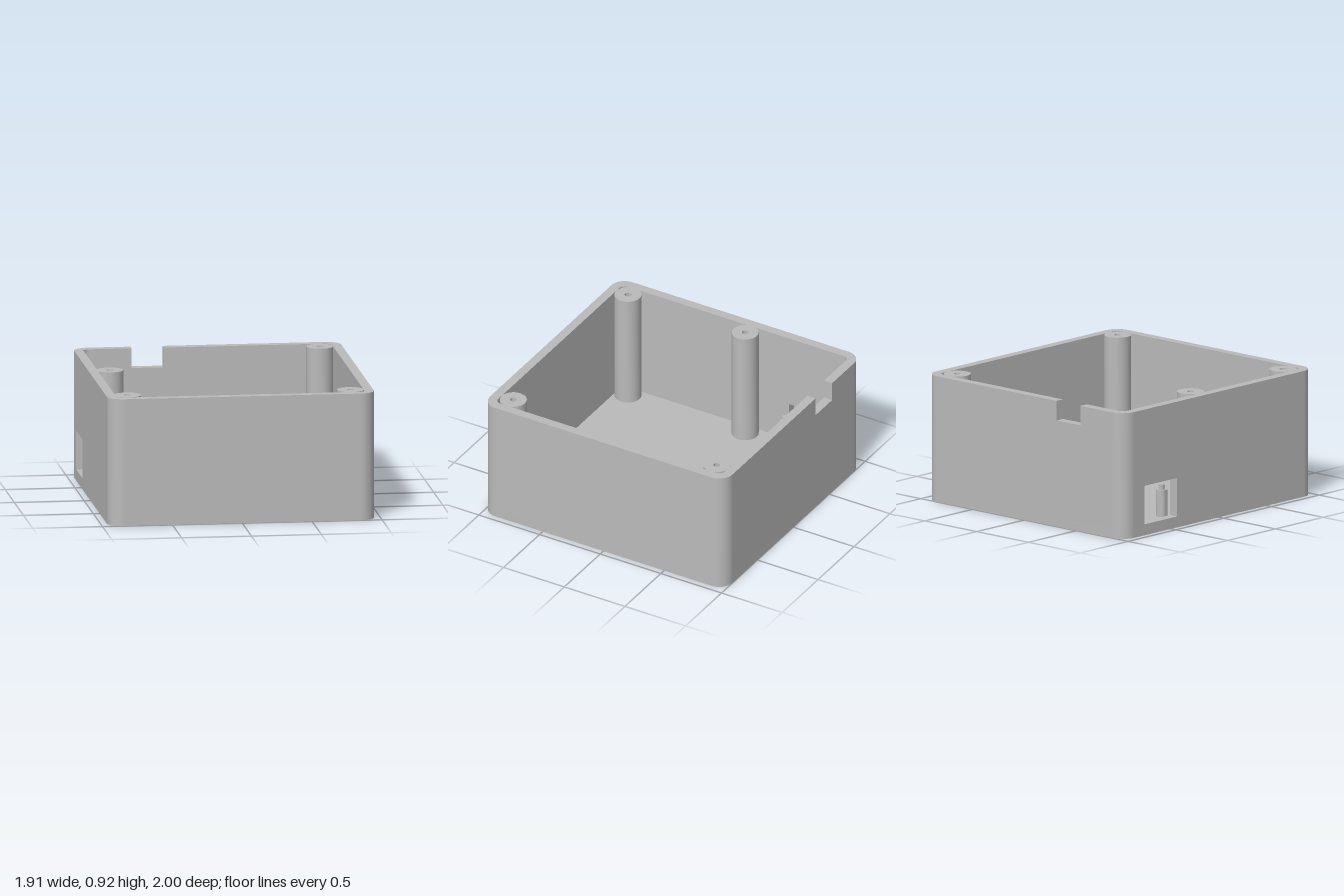
import * as THREE from 'three';
import { toCreasedNormals } from 'three/addons/utils/BufferGeometryUtils.js';

const W = 0.955, D = 1, H = 0.915;      // half width, half depth, height
const T = 0.067, R = 0.11, FLOOR = 0.065; // wall thickness, corner radius, floor top

const plastic = new THREE.MeshStandardMaterial({ color: 0xbababa });
plastic.name = 'grey plastic';

function extrude(shape, depth) {
  const geo = new THREE.ExtrudeGeometry(shape, { depth, bevelEnabled: false, curveSegments: 16 });
  return toCreasedNormals(geo, 0.6);
}

function part(group, name, geo) {
  const mesh = new THREE.Mesh(geo, plastic);
  mesh.name = name;
  group.add(mesh);
  return mesh;
}

// Upright prism: plan shape (x, -z) raised from y0 to y1
function prism(group, name, shape, y0, y1) {
  const mesh = part(group, name, extrude(shape, y1 - y0).rotateX(-Math.PI / 2));
  mesh.position.y = y0;
  return mesh;
}

function polygon(points) {
  return new THREE.Shape(points.map(([x, y]) => new THREE.Vector2(x, y)));
}

function roundedRect(w, d, r) {
  const s = new THREE.Shape();
  s.absarc(w - r, d - r, r, 0, Math.PI / 2);
  s.absarc(-w + r, d - r, r, Math.PI / 2, Math.PI);
  s.absarc(-w + r, -d + r, r, Math.PI, Math.PI * 1.5);
  s.absarc(w - r, -d + r, r, Math.PI * 1.5, Math.PI * 2);
  s.closePath();
  return s;
}

function circlePath(x, y, r, Type = THREE.Path) {
  const p = new Type();
  p.absarc(x, y, r, 0, Math.PI * 2);
  return p;
}

// Round post, optionally with a screw hole down the middle
function post(group, name, x, z, r, y1, hole, y0 = FLOOR) {
  const s = circlePath(0, 0, r, THREE.Shape);
  if (hole) s.holes.push(circlePath(0, 0, hole));
  prism(group, name, s, y0, y1).position.set(x, y0, z);
}

export function createModel() {
  const model = new THREE.Group();
  model.name = 'enclosureBase';

  // Floor: lower layer has four round recesses for feet
  const lower = roundedRect(W, D, R);
  for (const x of [-0.7, 0.7]) for (const z of [-0.745, 0.745]) {
    lower.holes.push(circlePath(x, z, 0.178));
  }
  prism(model, 'floorWithFootRecesses', lower, 0, 0.03);
  prism(model, 'floor', roundedRect(W, D, R), 0.03, FLOOR);

  // Rounded wall corners
  for (const sx of [-1, 1]) for (const sz of [-1, 1]) {
    const a = Math.atan2(-sz, sx) - Math.PI / 4;
    const s = new THREE.Shape();
    s.absarc(0, 0, R, a, a + Math.PI / 2, false);
    s.absarc(0, 0, R - T, a + Math.PI / 2, a, true);
    s.closePath();
    prism(model, 'wallCorner', s, FLOOR, H).position.set(sx * (W - R), FLOOR, sz * (D - R));
  }

  // Front and right-hand plain walls
  const ex = W - R, ez = D - R;
  const front = polygon([[-ex, FLOOR], [ex, FLOOR], [ex, H], [-ex, H]]);
  part(model, 'frontWall', extrude(front, T)).position.z = D - T;
  const side = () => polygon([[-ez, FLOOR], [ez, FLOOR], [ez, H], [-ez, H]]);
  const plain = part(model, 'leftWall', extrude(side(), T));
  plain.rotation.y = -Math.PI / 2;
  plain.position.x = W;

  // Back wall with cable notch in its rim
  const notch = 0.773;
  const back = polygon([[-ex, FLOOR], [ex, FLOOR], [ex, H], [-0.31, H],
    [-0.31, notch], [-0.54, notch], [-0.54, H], [-ex, H]]);
  part(model, 'backWall', extrude(back, T)).position.z = -D;

  // Side wall with connector window
  const pierced = side();
  pierced.holes.push(polygon([[-0.78, 0.08], [-0.78, 0.36], [-0.44, 0.36], [-0.44, 0.08]]));
  const windowWall = part(model, 'rightWallWithWindow', extrude(pierced, T));
  windowWall.rotation.y = -Math.PI / 2;
  windowWall.position.x = -W + T;

  // Full-height screw posts
  for (const [x, z] of [[0.795, -0.84], [0.795, 0.837], [-0.8, 0.837], [-0.8, -0.13]]) {
    post(model, 'screwPost', x, z, 0.096, H, 0.024);
  }

  // Board standoffs: a drilled pair and a pair with locating pins
  for (const z of [-0.77, -0.45]) {
    post(model, 'drilledStandoff', 0.505, z, 0.07, 0.26, 0.024);
    post(model, 'pinStandoff', -0.818, z, 0.041, 0.26);
    post(model, 'locatingPin', -0.818, z, 0.024, 0.297, 0, 0.26);
  }

  return model;
}
